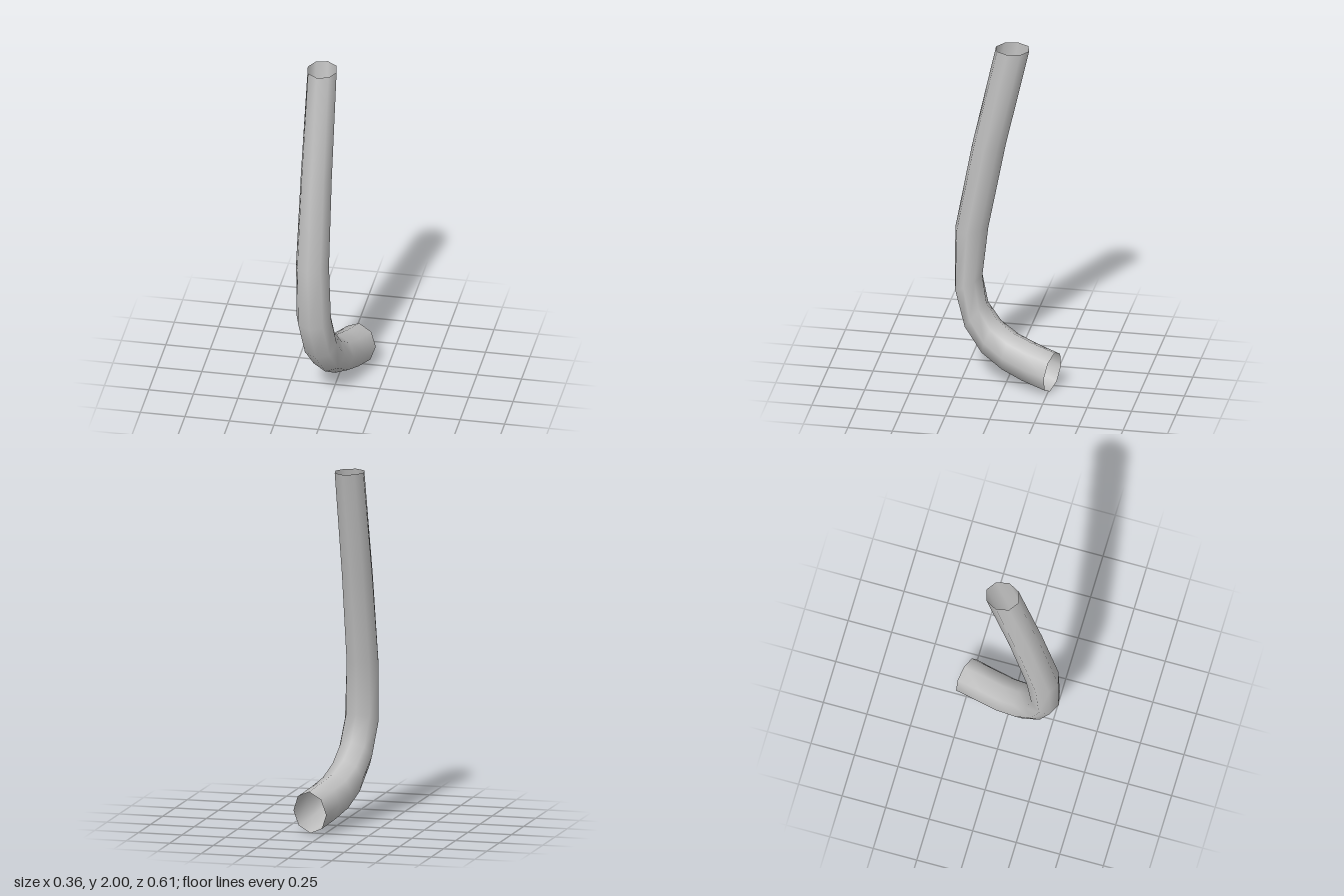
import * as THREE from 'three';

// Ring stations from the top opening to the lower one:
// [centre x, outer y, outer z, inner y, inner z, half width]
const STATIONS = [
  [-0.077, 2.0, 0.077, 2.0, -0.117, 0.085],
  [-0.084, 1.39, 0.212, 1.41, 0.018, 0.09],
  [-0.087, 0.876, 0.307, 0.9, 0.116, 0.095],
  [-0.078, 0.516, 0.307, 0.606, 0.148, 0.1],
  [-0.054, 0.299, 0.238, 0.45, 0.12, 0.103],
  [-0.027, 0.156, 0.127, 0.362, 0.053, 0.105],
  [0.003, 0.077, 0.0, 0.304, -0.042, 0.106],
  [0.04, 0.034, -0.127, 0.272, -0.148, 0.106],
  [0.08, 0.003, -0.26, 0.24, -0.286, 0.106],
];
const SIDES = 8;

// Skin the oval rings into an open, smooth-shaded pipe
function pipeGeometry() {
  const last = STATIONS.length - 1;
  const centres = STATIONS.map(([x, oy, oz, iy, iz]) =>
    new THREE.Vector3(x, (oy + iy) / 2, (oz + iz) / 2));
  const positions = [];
  const indices = [];
  STATIONS.forEach(([, oy, oz, iy, iz, width], i) => {
    const tangent = centres[Math.min(i + 1, last)].clone().sub(centres[Math.max(i - 1, 0)]);
    const across = new THREE.Vector3(0, (iy - oy) / 2, (iz - oz) / 2);
    const side = across.clone().cross(tangent).normalize();
    if (side.x < 0) side.negate();
    side.multiplyScalar(width);
    const twist = -0.16 * (1 - i / last);
    for (let j = 0; j < SIDES; j++) {
      const a = twist + (j / SIDES) * Math.PI * 2;
      const p = centres[i].clone()
        .addScaledVector(side, Math.cos(a))
        .addScaledVector(across, Math.sin(a));
      positions.push(p.x, p.y, p.z);
      if (i < last) {
        const k = (j + 1) % SIDES;
        const a0 = i * SIDES + j, b0 = i * SIDES + k;
        const a1 = a0 + SIDES, b1 = b0 + SIDES;
        indices.push(a0, a1, b0, b0, a1, b1);
      }
    }
  });
  const geometry = new THREE.BufferGeometry();
  geometry.setAttribute('position', new THREE.Float32BufferAttribute(positions, 3));
  geometry.setIndex(indices);
  geometry.computeVertexNormals();
  return geometry;
}

export function createModel() {
  const group = new THREE.Group();
  group.name = 'bentPipe';
  const grey = new THREE.MeshStandardMaterial({ color: 0xc0c0c0, side: THREE.DoubleSide });
  grey.name = 'light grey';
  const pipe = new THREE.Mesh(pipeGeometry(), grey);
  pipe.name = 'pipe';
  group.add(pipe);
  return group;
}
